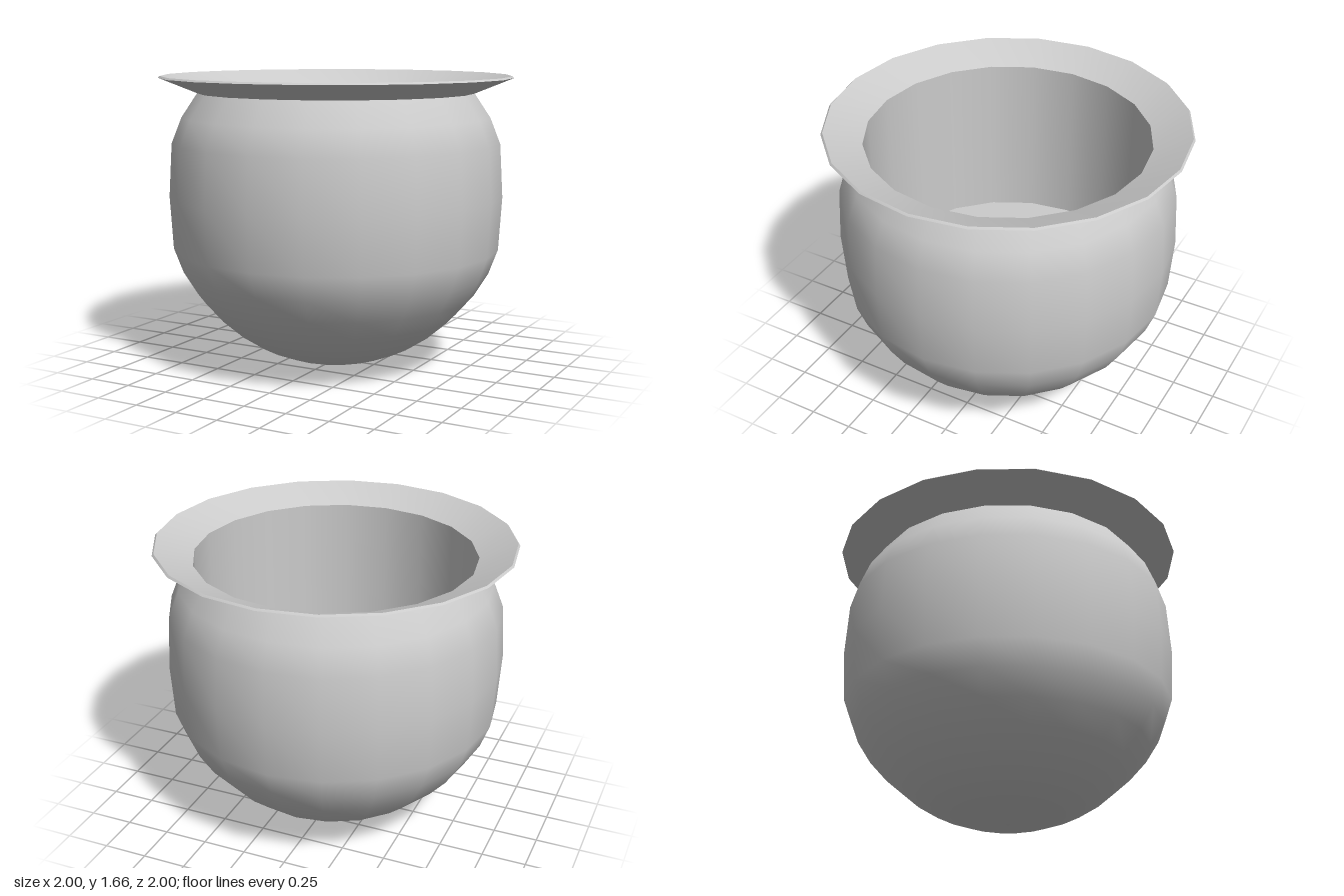
import * as THREE from 'three';
import { toCreasedNormals } from 'three/addons/utils/BufferGeometryUtils.js';

const SIDES = 20;

export function createModel() {
  const group = new THREE.Group();
  group.name = 'pot';
  const material = new THREE.MeshStandardMaterial({ color: 0xcccccc });

  // Revolves an [radius, height] profile; profiles run up the outside and down the inside
  function addLathe(name, profile, crease) {
    const points = profile.map(([r, y]) => new THREE.Vector2(r, y));
    let geometry = new THREE.LatheGeometry(points, SIDES);
    if (crease) geometry = toCreasedNormals(geometry, crease);
    const mesh = new THREE.Mesh(geometry, material);
    mesh.name = name;
    group.add(mesh);
  }

  // Round belly, smooth shaded
  addLathe('body', [
    [0, 0], [0.155, 0.014], [0.31, 0.052], [0.45, 0.11], [0.58, 0.195],
    [0.7, 0.3], [0.8, 0.415], [0.88, 0.545], [0.932, 0.685], [0.95, 0.985],
    [0.932, 1.285], [0.875, 1.43], [0.785, 1.565],
  ]);

  // Flared lip with a thin bevelled edge
  addLathe('rim', [
    [0.785, 1.565], [1, 1.652], [0.99, 1.662], [0.785, 1.575],
  ], 0.5);

  // Straight-sided hollow with a flat floor
  addLathe('innerWall', [[0.785, 1.575], [0.785, 0.6]]);
  addLathe('innerFloor', [[0.785, 0.6], [0, 0.6]]);

  return group;
}
